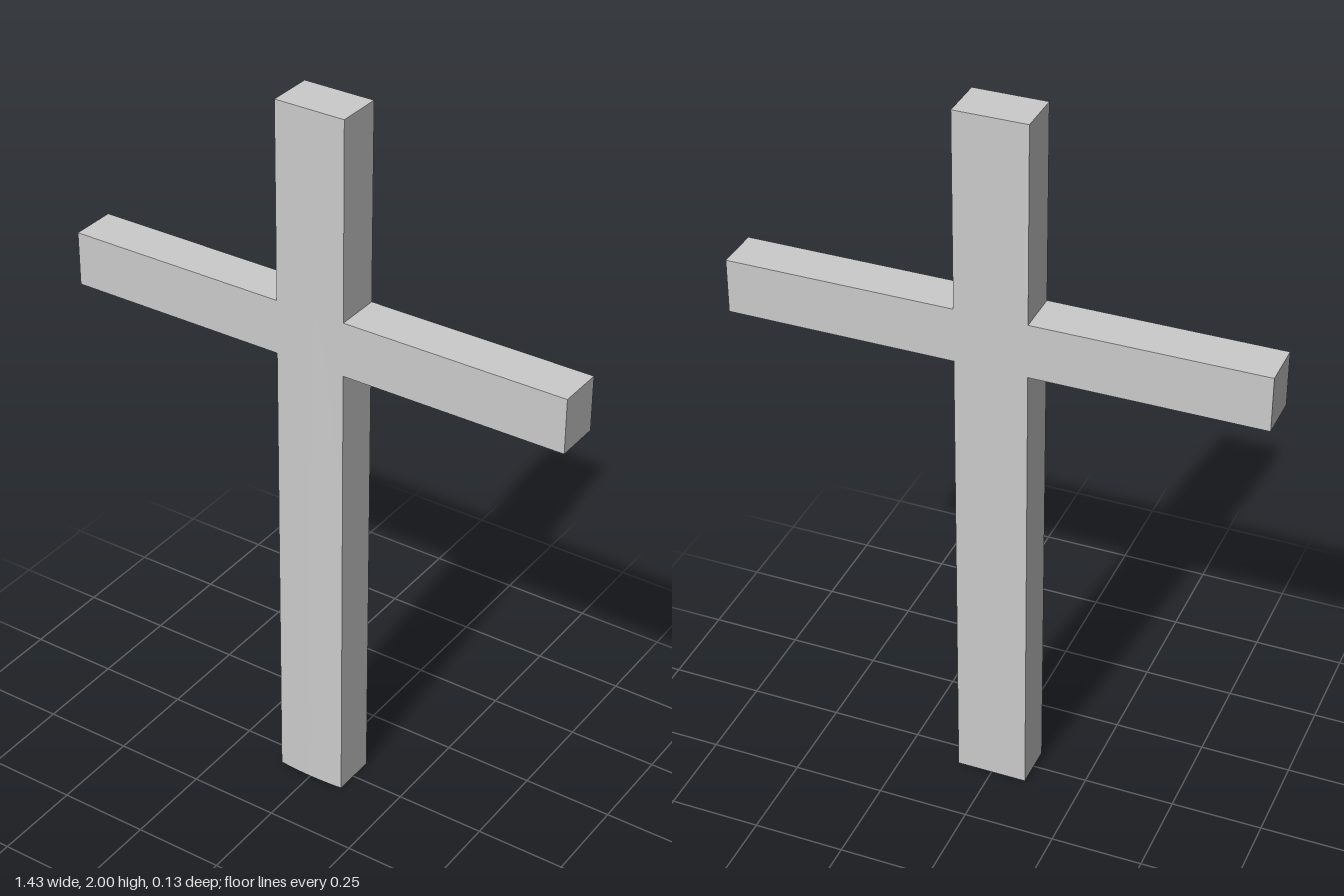
import * as THREE from 'three';

const HALF_W = 0.098, BACK = -0.065, FRONT = 0.06;
const DEPTH = FRONT - BACK, MID_Z = (FRONT + BACK) / 2;

export function createModel() {
  const group = new THREE.Group();
  group.name = 'cross';
  const material = new THREE.MeshStandardMaterial({ color: 0xcccccc });

  const add = (name, geometry) => {
    const mesh = new THREE.Mesh(geometry, material);
    mesh.name = name;
    group.add(mesh);
  };

  // Upright post, its front swelling very slightly towards the foot
  const post = new THREE.BoxGeometry(HALF_W * 2, 2, DEPTH, 8, 20, 1);
  post.translate(0, 1, MID_Z);
  const p = post.attributes.position;
  for (let i = 0; i < p.count; i++) {
    if (p.getZ(i) < MID_Z) continue;
    const across = 1 - (p.getX(i) / HALF_W) ** 2;
    const down = Math.max(0, 1 - p.getY(i) / 1.65);
    p.setZ(i, FRONT + 0.005 * across * down);
  }
  post.computeVertexNormals();
  add('post', post);

  // Two mirrored arms butted against the post
  const reach = 0.717, bottom = 1.31, top = 1.46;
  for (const [name, side] of [['leftArm', 1], ['rightArm', -1]]) {
    const arm = new THREE.BoxGeometry(reach - HALF_W, top - bottom, DEPTH);
    arm.translate(side * (reach + HALF_W) / 2, (top + bottom) / 2, MID_Z);
    add(name, arm);
  }
  return group;
}
